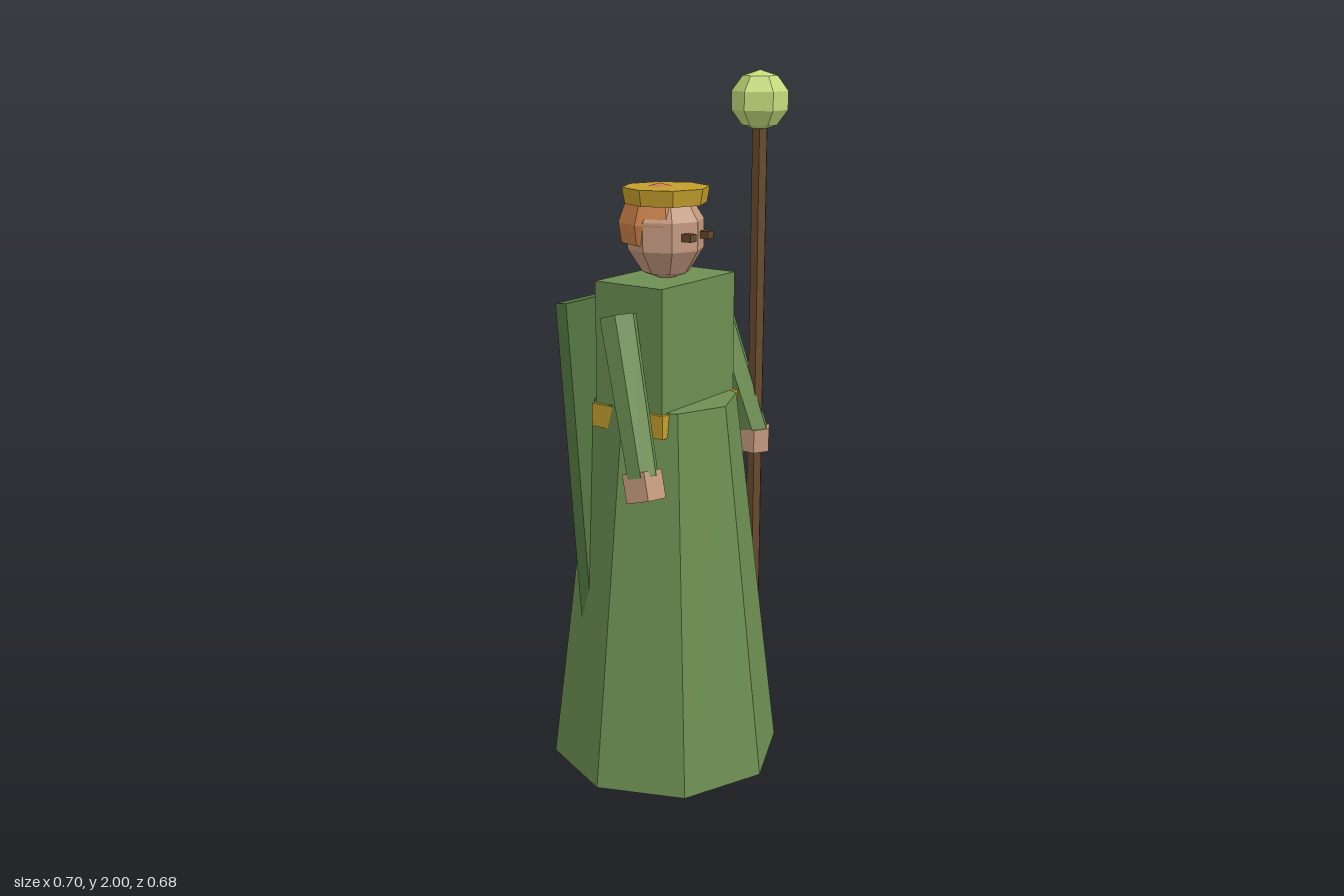
import * as THREE from 'three';

const mat = (name, color) => {
  const m = new THREE.MeshStandardMaterial({ color, flatShading: true });
  m.name = name;
  return m;
};

export function createModel() {
  const robeGreen = mat('robe green', 0x6d8f52);
  const capeGreen = mat('cape green', 0x527440);
  const skin = mat('skin', 0xc4997f);
  const hairColor = mat('hair copper', 0xc98049);
  const gold = mat('gold', 0xc49f2d);
  const wood = mat('dark wood', 0x674a2e);
  const glow = mat('pale orb', 0xc3dd7c);

  const model = new THREE.Group();
  model.name = 'robedFigure';
  // The body sits slightly off centre, balancing the staff
  const body = new THREE.Group();
  body.name = 'body';
  body.position.x = -0.012;
  model.add(body);

  const add = (name, geometry, material, x, y, z) => {
    const mesh = new THREE.Mesh(geometry, material);
    mesh.name = name;
    mesh.position.set(x, y, z);
    body.add(mesh);
    return mesh;
  };
  const box = (w, h, d) => new THREE.BoxGeometry(w, h, d);

  // Robe, torso and belt
  add('robeSkirt', new THREE.CylinderGeometry(0.205, 0.34, 1.1, 8), robeGreen, 0, 0.55, 0);
  add('torso', box(0.35, 0.4, 0.228), robeGreen, 0, 1.245, 0);
  add('belt', box(0.37, 0.066, 0.246), gold, 0, 1.065, 0);

  // Stiff cape leaning forward into the robe
  add('cape', box(0.454, 1, 0.038), capeGreen, 0, 0.882, -0.155).rotation.x = -0.08;

  // Head, hair and crown
  add('head', new THREE.SphereGeometry(0.113, 8, 5), skin, 0, 1.565, 0).scale.y = 1.15;
  const hairGeometry = new THREE.SphereGeometry(0.117, 8, 4, 0, Math.PI * 2, 0, 1.97);
  const hairMaterial = hairColor;
  hairMaterial.side = THREE.DoubleSide;
  add('hair', hairGeometry, hairMaterial, 0, 1.586, -0.021);
  add('crown', new THREE.CylinderGeometry(0.123, 0.115, 0.045, 8), gold, 0, 1.672, 0);

  // Arms and eyes, mirrored
  const up = new THREE.Vector3(0, 1, 0);
  for (const [side, s] of [['left', 1], ['right', -1]]) {
    add(side + 'Eye', box(0.027, 0.021, 0.03), wood, s * 0.041, 1.566, 0.107);

    const shoulder = new THREE.Vector3(s * 0.22, 1.367, 0);
    const wrist = new THREE.Vector3(s * 0.277, 0.95, 0.125);
    const direction = shoulder.clone().sub(wrist);
    const middle = shoulder.clone().add(wrist).multiplyScalar(0.5);
    const sleeve = add(side + 'Sleeve',
      new THREE.CylinderGeometry(0.053, 0.045, direction.length(), 6), robeGreen, ...middle);
    sleeve.quaternion.setFromUnitVectors(up, direction.normalize());

    // The left hand grips the staff upright, the right hand follows its arm
    if (s > 0) {
      add('leftHand', new THREE.CylinderGeometry(0.05, 0.05, 0.07, 6), skin, 0.279, 0.93, 0.125);
    } else {
      const hand = add('rightHand', box(0.078, 0.08, 0.075), skin, -0.279, 0.926, 0.13);
      hand.quaternion.copy(sleeve.quaternion);
    }
  }

  // Staff with a faceted orb
  add('staff', new THREE.CylinderGeometry(0.024, 0.024, 1.83, 6), wood, 0.279, 0.925, 0.125);
  add('staffOrb', new THREE.SphereGeometry(0.084, 6, 5), glow, 0.279, 1.917, 0.123);

  return model;
}
